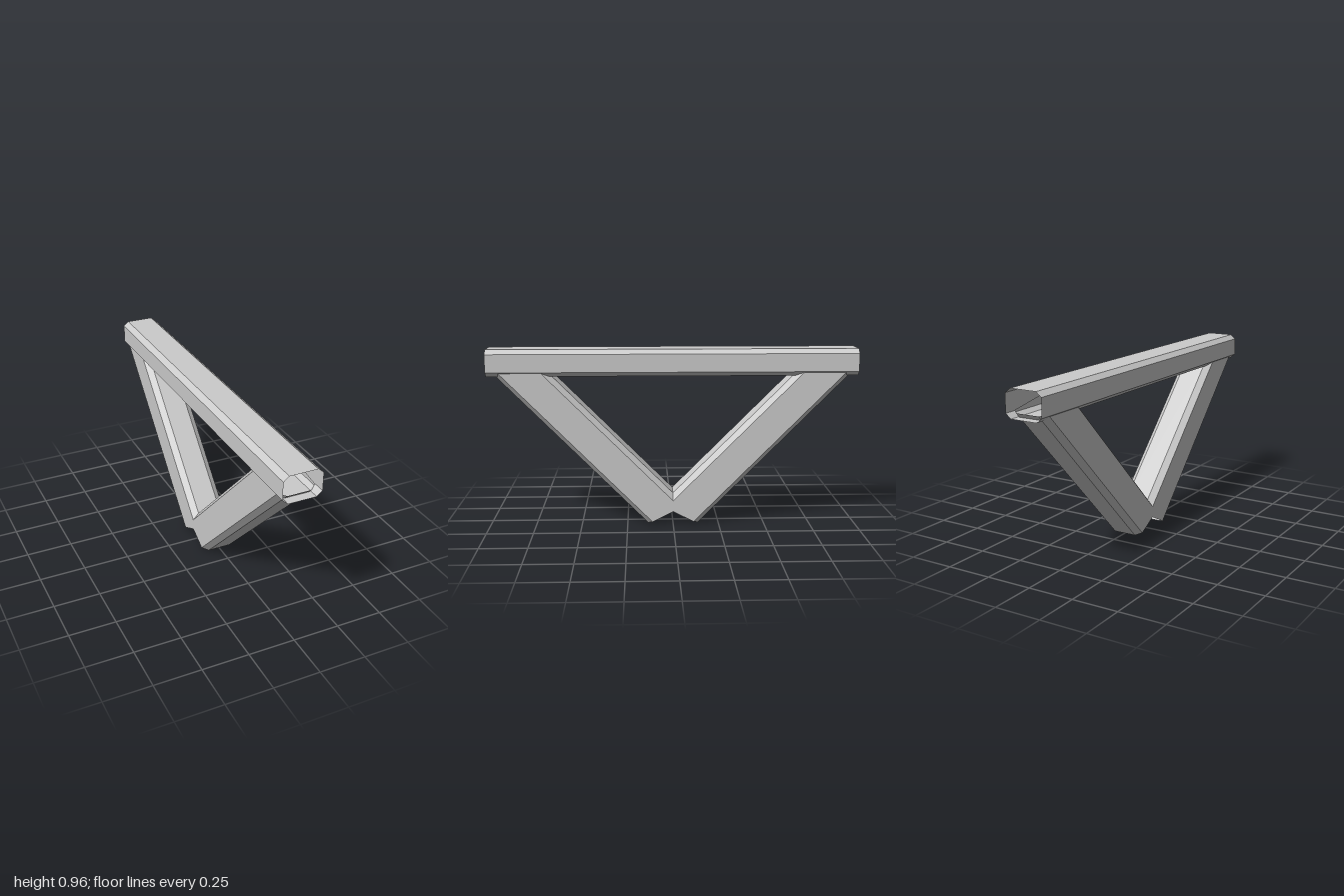
import * as THREE from 'three';

const material = new THREE.MeshStandardMaterial({
  color: 0xcccccc,
  flatShading: true,
  side: THREE.DoubleSide,
});

// Open-ended chamfered tube. Each end is a slanted cut given in the z-y plane
// by its lower/outer point and its upper/inner point: [[z, y], [z, y]].
function chamferedTube(name, halfWidth, flatHalf, chamfer, start, end) {
  const w = halfWidth, f = flatHalf, c = chamfer;
  const section = [
    [f, 0], [w, c], [w, 1 - c], [f, 1],
    [-f, 1], [-w, 1 - c], [-w, c], [-f, 0],
  ];
  const place = ([x, s], [p, q]) => [
    x,
    THREE.MathUtils.lerp(p[1], q[1], s),
    THREE.MathUtils.lerp(p[0], q[0], s),
  ];
  const positions = [];
  section.forEach((a, i) => {
    const b = section[(i + 1) % section.length];
    const a0 = place(a, start), b0 = place(b, start);
    const a1 = place(a, end), b1 = place(b, end);
    positions.push(...a0, ...b0, ...b1, ...a0, ...b1, ...a1);
  });
  const geometry = new THREE.BufferGeometry();
  geometry.setAttribute('position', new THREE.Float32BufferAttribute(positions, 3));
  geometry.computeVertexNormals();
  const mesh = new THREE.Mesh(geometry, material);
  mesh.name = name;
  return mesh;
}

export function createModel() {
  const group = new THREE.Group();
  group.name = 'braceFrame';

  // Horizontal top beam, hollow with open ends
  group.add(chamferedTube('topBeam', 0.103, 0.074, 0.165,
    [[-1, 0.818], [-1, 0.963]],
    [[1, 0.818], [1, 0.963]]));

  // Two diagonal braces meeting at the bottom, upper ends tucked into the beam
  for (const [name, turn] of [['frontBrace', 0], ['backBrace', Math.PI]]) {
    const brace = chamferedTube(name, 0.097, 0.064, 0.12,
      [[0.137, 0], [-0.065, 0.103]],
      [[0.973, 0.842], [0.717, 0.885]]);
    brace.rotation.y = turn;
    group.add(brace);
  }
  return group;
}
